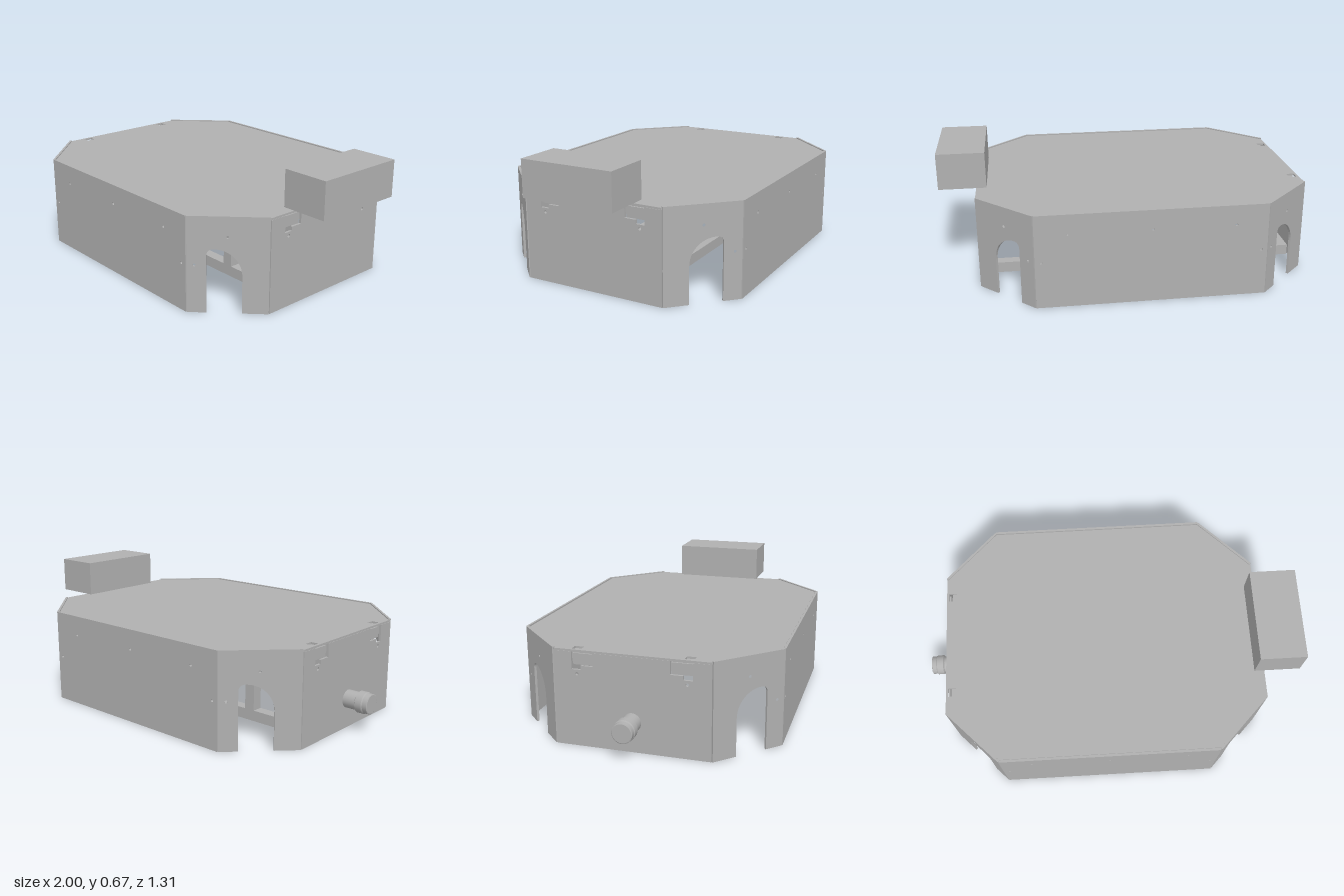
import * as THREE from 'three';

const H = 0.48, T = 0.012, CX = -0.025;

// closed shape or hole from points
const loop = (pts, C = THREE.Shape) => new C(pts.map(p => new THREE.Vector2(p[0], p[1])));
const hole = (x, y, r = 0.007) => new THREE.Path().absarc(x, y, r, 0, Math.PI * 2, true);

export function createModel() {
  const root = new THREE.Group();
  const steel = new THREE.MeshStandardMaterial({ color: 0xb0b0b0 });
  steel.name = 'grey steel';

  function add(name, geo, parent = root) {
    const m = new THREE.Mesh(geo, steel);
    m.name = name;
    parent.add(m);
    return m;
  }
  function box(name, x0, x1, y0, y1, z0, z1) {
    const m = add(name, new THREE.BoxGeometry(x1 - x0, y1 - y0, z1 - z0));
    m.position.set((x0 + x1) / 2, (y0 + y1) / 2, (z0 + z1) / 2);
    return m;
  }
  // upright sheet from p to q (x, z), extruded inward from that outer line
  function panel(name, p, q, shape) {
    const geo = new THREE.ExtrudeGeometry(shape, { depth: T, bevelEnabled: false, curveSegments: 12 });
    geo.translate(0, 0, -T);
    const m = add(name, geo);
    m.position.set(p[0], 0, p[1]);
    m.rotation.y = Math.atan2(p[1] - q[1], q[0] - p[0]);
  }

  // long front and back panels with screw holes
  function longShape() {
    const L = 1.135, s = loop([[0, 0], [L, 0], [L, H], [0, H]]);
    for (const [u, v] of [[0.03, 0.24], [0.16, 0.38], [L / 2, 0.38], [L - 0.16, 0.38], [L - 0.03, 0.24]]) s.holes.push(hole(u, v));
    return s;
  }
  const xa = 0.5675;
  panel('frontPanel', [CX - xa, 0.655], [CX + xa, 0.655], longShape());
  panel('backPanel', [CX + xa, -0.655], [CX - xa, -0.655], longShape());

  // corner panels with a lopsided arch; flip puts the wide curve at the start
  function cornerShape(L, flip) {
    const a = 0.09, b = 0.255, top = 0.32, r = 0.03, R = 0.13;
    const pts = [[0, 0], [a, 0]];
    for (let i = 0; i <= 6; i++) {
      const t = i / 6 * Math.PI / 2;
      pts.push([a + r - r * Math.cos(t), top - r + r * Math.sin(t)]);
    }
    for (let i = 0; i <= 12; i++) {
      const t = i / 12 * Math.PI / 2;
      pts.push([b - R + R * Math.sin(t), top - R + R * Math.cos(t)]);
    }
    pts.push([b, 0], [L, 0], [L, H], [0, H]);
    const f = u => (flip ? L - u : u);
    const s = loop(pts.map(([u, v]) => [f(u), v]));
    s.holes.push(hole(f(0.035), 0.24), hole(f(0.187), 0.38));
    return s;
  }
  for (const sx of [1, -1]) for (const sz of [1, -1]) {
    const nearLong = [CX + sx * 0.572, sz * 0.652], nearEnd = [CX + sx * 0.84, sz * 0.384];
    const flip = sx * sz < 0;
    const L = Math.hypot(nearLong[0] - nearEnd[0], nearLong[1] - nearEnd[1]);
    panel('cornerPanel', flip ? nearEnd : nearLong, flip ? nearLong : nearEnd, cornerShape(L, flip));
  }

  // end panels with a hooked notch on each side of the top edge
  function endShape() {
    const h = 0.465, c = 0.378;
    const half = [[0.378, 0], [0.378, h], [0.29, h], [0.29, 0.38], [0.245, 0.38], [0.245, 0.4], [0.185, 0.4], [0.185, h]];
    const pts = [...half, ...half.map(([u, v]) => [-u, v]).reverse()];
    const s = loop(pts.map(([u, v]) => [u + c, v]));
    s.holes.push(hole(c - 0.265, 0.36, 0.008), hole(c + 0.265, 0.36, 0.008));
    return s;
  }
  const xe = 0.84;
  panel('leftEndPanel', [CX + xe, 0.378], [CX + xe, -0.378], endShape());
  panel('rightEndPanel', [CX - xe, -0.378], [CX - xe, 0.378], endShape());

  // octagonal lid, slotted at the connector end
  const X = 0.838, K = 0.566, Z = 0.64, W = 0.375;
  const lid = loop([[CX - K, -Z], [CX + K, -Z], [CX + X, -W], [CX + X, W], [CX + K, Z], [CX - K, Z], [CX - X, W], [CX - X, -W]]);
  for (const z of [-0.27, 0.27]) {
    lid.holes.push(loop([[-0.85, z - 0.022], [-0.85, z + 0.022], [-0.81, z + 0.022], [-0.81, z - 0.022]], THREE.Path));
  }
  const lidGeo = new THREE.ExtrudeGeometry(lid, { depth: 0.01, bevelEnabled: false });
  lidGeo.rotateX(Math.PI / 2);
  add('lid', lidGeo).position.y = 0.475;

  // hinge tabs behind the notches
  for (const sx of [1, -1]) for (const sz of [1, -1]) {
    const x = CX + sx * 0.822, z = sz * 0.237;
    box('hingeTab', x - 0.004, x + 0.004, 0.4, 0.455, z - 0.05, z + 0.05);
  }

  // square-tube ring under the lid
  const ring = (x, k, z, w, C) => loop([[CX - k, -z], [CX + k, -z], [CX + x, -w], [CX + x, w], [CX + k, z], [CX - k, z], [CX - x, w], [CX - x, -w]], C);
  const ringShape = ring(0.81, 0.55, 0.625, 0.365);
  ringShape.holes.push(ring(0.755, 0.527, 0.57, 0.342, THREE.Path));
  const ringGeo = new THREE.ExtrudeGeometry(ringShape, { depth: 0.055, bevelEnabled: false });
  ringGeo.rotateX(Math.PI / 2);
  add('upperFrame', ringGeo).position.y = 0.463;

  // inner rails, posts and end crossbars
  for (const s of [1, -1]) {
    const z = s * 0.22, r = 0.0275;
    box('lowerRail', -0.845, 0.795, 0.004, 0.059, z - r, z + r);
    box('upperRail', -0.78, 0.73, 0.408, 0.463, z - r, z + r);
    for (const x of [-0.45, 0.38]) box('post', x - r, x + r, 0.059, 0.408, z - r, z + r);
    const ex = CX + s * 0.7925;
    box('lowerCrossbar', ex - r, ex + r, 0.004, 0.059, -0.1925, 0.1925);
  }

  // round connector on the right end
  const profile = [[0, 0], [0.045, 0], [0.045, 0.07], [0.054, 0.076], [0.054, 0.11], [0.05, 0.115], [0.05, 0.138], [0.046, 0.14], [0, 0.14]];
  const pts = profile.flatMap(([r, y], i) => (i && i < 8 ? [new THREE.Vector2(r, y), new THREE.Vector2(r, y)] : [new THREE.Vector2(r, y)]));
  const plug = add('connector', new THREE.LatheGeometry(pts, 32));
  plug.rotation.z = Math.PI / 2;
  plug.position.set(-0.86, 0.15, 0);

  // control box above the left end
  box('controlBox', 0.76, 1, 0.48, 0.665, -0.243, 0.243);
  return root;
}
